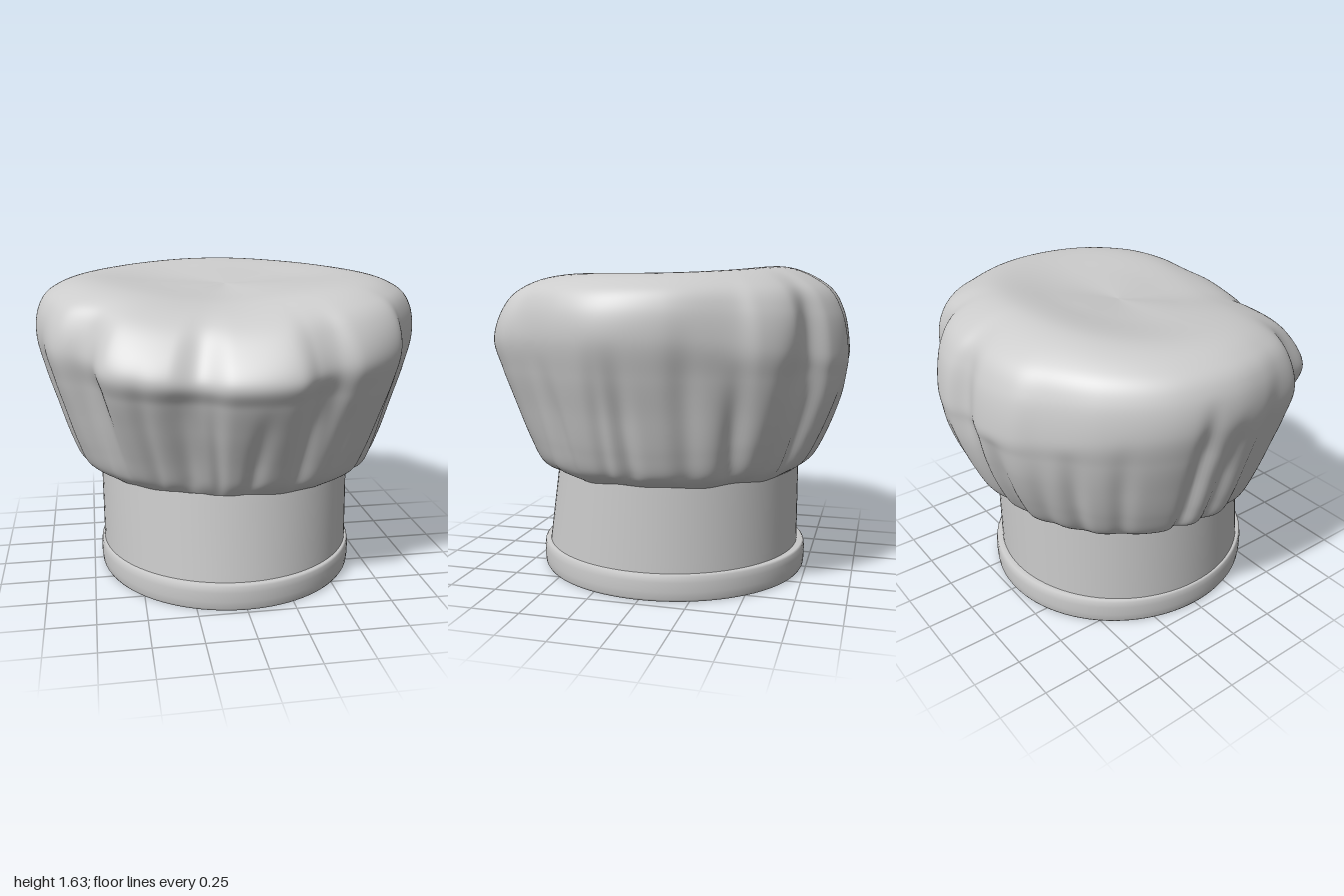
import * as THREE from 'three';

const material = new THREE.MeshStandardMaterial({ color: 0xcccccc, side: THREE.DoubleSide });
const TAU = Math.PI * 2;
const smooth = THREE.MathUtils.smoothstep;

// Closed surface around the y axis; point(angle, v) returns [x, y, z], angle 0 faces the front
function sweep(cols, rows, point) {
  const pos = [], index = [];
  for (let j = 0; j <= rows; j++)
    for (let i = 0; i < cols; i++) pos.push(...point((i / cols) * TAU, j / rows));
  for (let j = 0; j < rows; j++)
    for (let i = 0; i < cols; i++) {
      const n = (i + 1) % cols, a = j * cols + i, b = j * cols + n;
      index.push(a, b, b + cols, a, b + cols, a + cols);
    }
  const g = new THREE.BufferGeometry();
  g.setAttribute('position', new THREE.Float32BufferAttribute(pos, 3));
  g.setIndex(index);
  g.computeVertexNormals();
  return g;
}

function part(name, geometry) {
  const mesh = new THREE.Mesh(geometry, material);
  mesh.name = name;
  return mesh;
}

const spline = (pts) => new THREE.SplineCurve(pts.map(([x, y]) => new THREE.Vector2(x, y)));

// Crown profiles (radius, height) from the band up and over to the middle of the top
const front = spline([[0.62, 0.57], [0.665, 0.64], [0.735, 0.78], [0.825, 0.95], [0.9, 1.09], [0.945, 1.2],
  [0.84, 1.345], [0.7, 1.45], [0.5, 1.505], [0.25, 1.53], [0, 1.55]]);
const flank = spline([[0.68, 0.57], [0.78, 0.63], [0.84, 0.76], [0.9, 0.95], [0.96, 1.13], [1, 1.3],
  [0.98, 1.45], [0.9, 1.545], [0.72, 1.595], [0.36, 1.57], [0, 1.55]]);
const back = spline([[0.68, 0.565], [0.77, 0.645], [0.85, 0.8], [0.91, 0.97], [0.935, 1.1], [0.945, 1.2],
  [0.91, 1.4], [0.82, 1.54], [0.6, 1.632], [0.3, 1.595], [0, 1.55]]);

// Irregular outline of the widest part (x, z)
const outline = new THREE.CatmullRomCurve3([
  [0.2, 0.945], [0.3, 0.88], [0.4, 0.83], [0.52, 0.82], [0.75, 0.67], [0.8, 0.55], [0.95, 0.3], [1, 0.1],
  [0.95, -0.2], [0.81, -0.5], [0.77, -0.61], [0.64, -0.74], [0.46, -0.78], [0.37, -0.88], [0.13, -0.95],
  [0.01, -0.9], [-0.15, -0.94], [-0.38, -0.9], [-0.5, -0.82], [-0.74, -0.64], [-0.93, -0.38], [-1, -0.1],
  [-0.99, 0.08], [-0.96, 0.2], [-0.9, 0.38], [-0.75, 0.5], [-0.67, 0.7], [-0.4, 0.83], [-0.25, 0.83],
  [-0.1, 0.92]].map(([x, z]) => new THREE.Vector3(x, 0, z)), true);
const polar = outline.getPoints(600).slice(0, -1)
  .map((p) => [(Math.atan2(p.x, p.z) + TAU) % TAU, Math.hypot(p.x, p.z)])
  .sort((a, b) => a[0] - b[0]);

function outlineRadius(angle) {
  let k = polar.findIndex((p) => p[0] > angle);
  if (k < 0) k = 0;
  const [a0, r0] = polar[(k + polar.length - 1) % polar.length], [a1, r1] = polar[k];
  const span = (a1 - a0 + TAU) % TAU, step = (angle - a0 + TAU) % TAU;
  return r0 + (r1 - r0) * (span ? step / span : 0);
}

// Gathered folds: unevenly spaced grooves of different depth and length
let seed = 11;
const random = () => (seed = (seed * 16807) % 2147483647) / 2147483647;
const FOLDS = 25;
const folds = Array.from({ length: FOLDS }, (_, i) => ({
  angle: ((i + 0.2 + random() * 0.6) / FOLDS) * TAU,
  width: 0.045 + random() * 0.035,
  depth: 0.012 + random() * 0.028,
  top: 4.2 + random() * 1.9,
  lean: (random() - 0.5) * 0.03,
}));

function foldDepth(angle, u) {
  // slight swelling of the cloth between the grooves
  let sum = -0.012 * smooth(u, 0, 1.3) * (1 - smooth(u, 2.5, 5));
  for (const f of folds) {
    const d = angle - f.angle - f.lean * (u - 2);
    const away = Math.atan2(Math.sin(d), Math.cos(d)) / f.width;
    const fade = smooth(u, 0, 1.3) * (1 - smooth(u, f.top - 2.5, f.top));
    sum += f.depth * fade * Math.exp(-away * away);
  }
  return sum;
}

function crownPoint(angle, v) {
  const u = v * 10;
  const wf = Math.max(0, Math.cos(angle + 0.22)) ** 2.6;
  const wb = Math.max(0, Math.cos(angle - Math.PI)) ** 2;
  const blend = (t) => {
    const f = front.getPoint(t), s = flank.getPoint(t), b = back.getPoint(t);
    return s.clone().multiplyScalar(1 - wf - wb * (1 - wf)).addScaledVector(f, wf)
      .addScaledVector(b, wb * (1 - wf));
  };
  const p = blend(v);
  const weight = smooth(u, 0, 4.5) * (1 - smooth(u, 5.2, 8.5));
  const scale = 1 + (outlineRadius(angle) / blend(0.5).x - 1) * weight;
  const r = Math.max(0, p.x * scale - foldDepth(angle, u));
  // uneven gathered hem
  const hem = 0.004 * (Math.sin(angle * 9) + Math.sin(angle * 14 + 1)) * (1 - smooth(u, 0, 1.5));
  return [r * Math.sin(angle), p.y + hem, r * Math.cos(angle)];
}

export function createModel() {
  const hat = new THREE.Group();
  hat.name = 'pleatedHat';

  // Rolled hem at the foot, hollow
  const hemProfile = [[0.658, 0.14], [0.658, 0.01], [0.668, 0], [0.695, 0], [0.702, 0.012], [0.706, 0.05],
    [0.706, 0.1], [0.702, 0.13], [0.694, 0.14], [0.658, 0.14]].map(([x, y]) => new THREE.Vector2(x, y));
  const hem = part('brimBand', new THREE.LatheGeometry(hemProfile, 96));
  hem.scale.z = 0.735 / 0.706;
  hat.add(hem);

  // Upright band, leaning back slightly at the front
  hat.add(part('headBand', sweep(96, 8, (angle, v) => {
    const c = Math.cos(angle);
    const depth = c > 0 ? 0.7 - 0.07 * v : 0.692;
    return [0.688 * Math.sin(angle), 0.13 + 0.46 * v, depth * c];
  })));

  // Puffed, pleated crown
  hat.add(part('puffedCrown', sweep(360, 90, crownPoint)));
  return hat;
}
